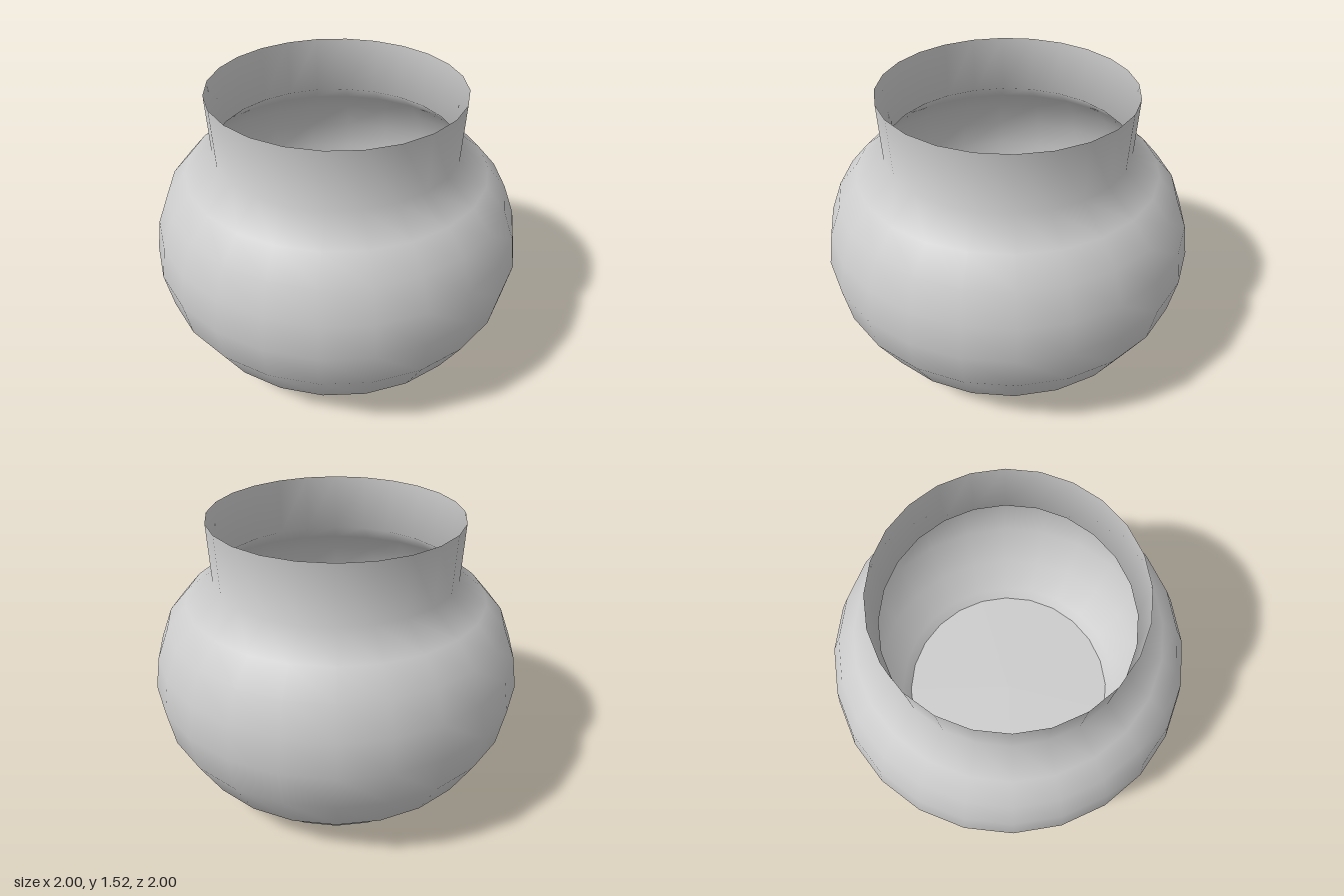
import * as THREE from 'three';

const SIDES = 24;

export function createModel() {
  const pot = new THREE.Group();
  pot.name = 'pot';
  const material = new THREE.MeshStandardMaterial({ color: 0xcccccc, side: THREE.DoubleSide });

  // Thin wall: rounded belly, shoulder and slightly flared neck
  const profile = [
    [0.655, 0], [0.70, 0.055], [0.845, 0.2], [0.965, 0.425], [1, 0.63],
    [0.97, 0.805], [0.905, 0.97], [0.80, 1.09], [0.65, 1.205], [0.66, 1.517],
  ].map(([r, y]) => new THREE.Vector2(r, y));
  const wall = new THREE.Mesh(new THREE.LatheGeometry(profile, SIDES), material);
  wall.name = 'wall';
  pot.add(wall);

  // Flat floor, closing the bottom
  const floor = new THREE.Mesh(new THREE.CircleGeometry(0.655, SIDES).rotateX(Math.PI / 2), material);
  floor.name = 'floor';
  pot.add(floor);

  return pot;
}
